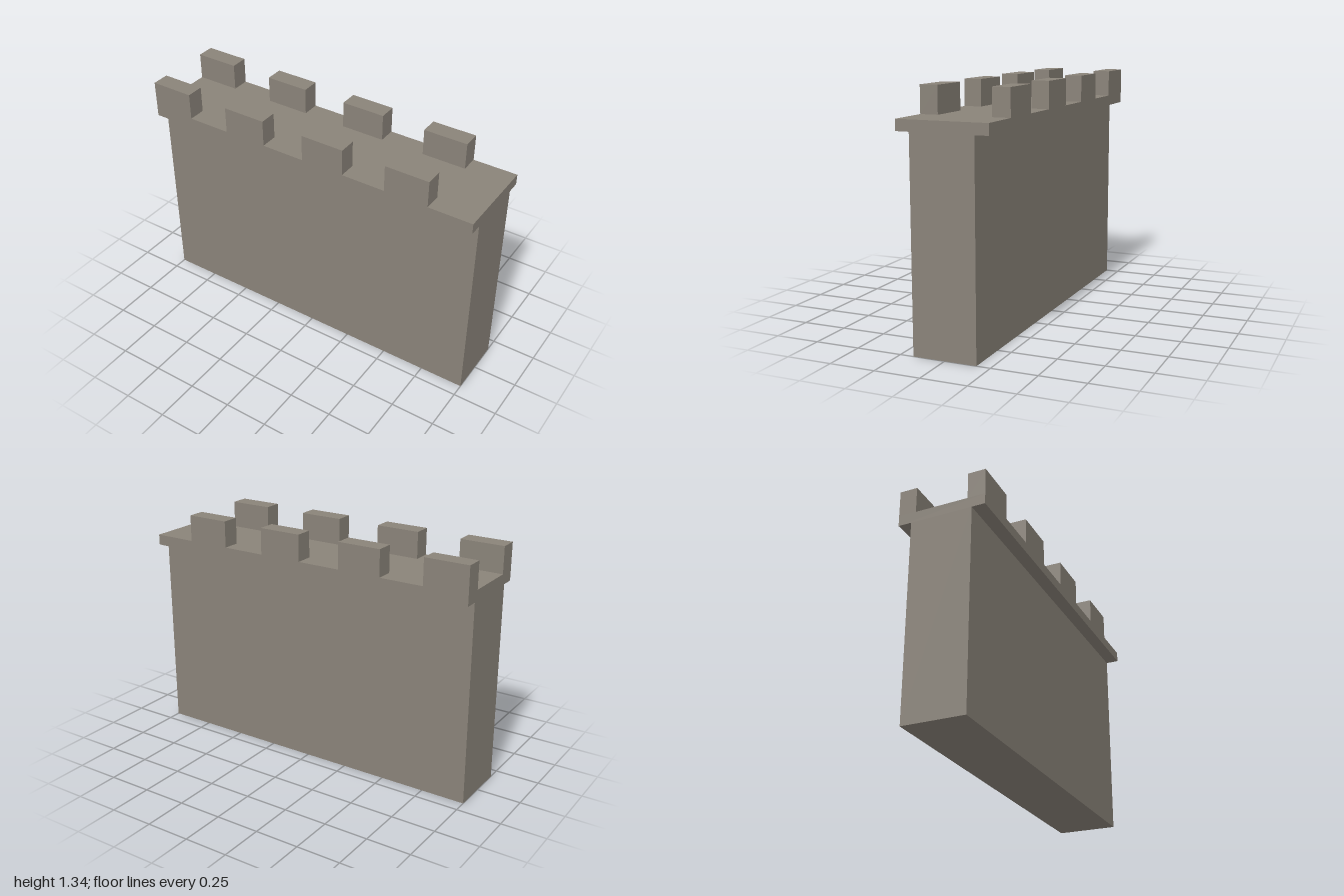
import * as THREE from 'three';

export function createModel() {
  const model = new THREE.Group();
  model.name = 'battlementWall';

  const stone = new THREE.MeshStandardMaterial({ color: 0x8a8379 });
  stone.name = 'stone';

  // Box placed by the centre of its base
  function addBlock(name, width, height, depth, x, baseY, z) {
    const geometry = new THREE.BoxGeometry(width, height, depth);
    geometry.translate(0, height / 2, 0);
    const mesh = new THREE.Mesh(geometry, stone);
    mesh.name = name;
    mesh.position.set(x, baseY, z);
    model.add(mesh);
  }

  const wallHeight = 1.13;
  const walkTop = 1.19;

  // Wall body and the overhanging walkway
  addBlock('wall', 2, wallHeight, 0.35, 0, 0, 0);
  addBlock('walkway', 2, walkTop - wallHeight, 0.5, 0, wallHeight, 0);

  // Merlons along the front and back edges, starting at the right end
  for (const [side, sign] of [['front', 1], ['back', -1]]) {
    for (let i = 0; i < 4; i++) {
      addBlock(`${side}Merlon${i + 1}`, 0.25, 0.15, 0.1, -0.875 + i * 0.5, walkTop, sign * 0.2);
    }
  }

  return model;
}
